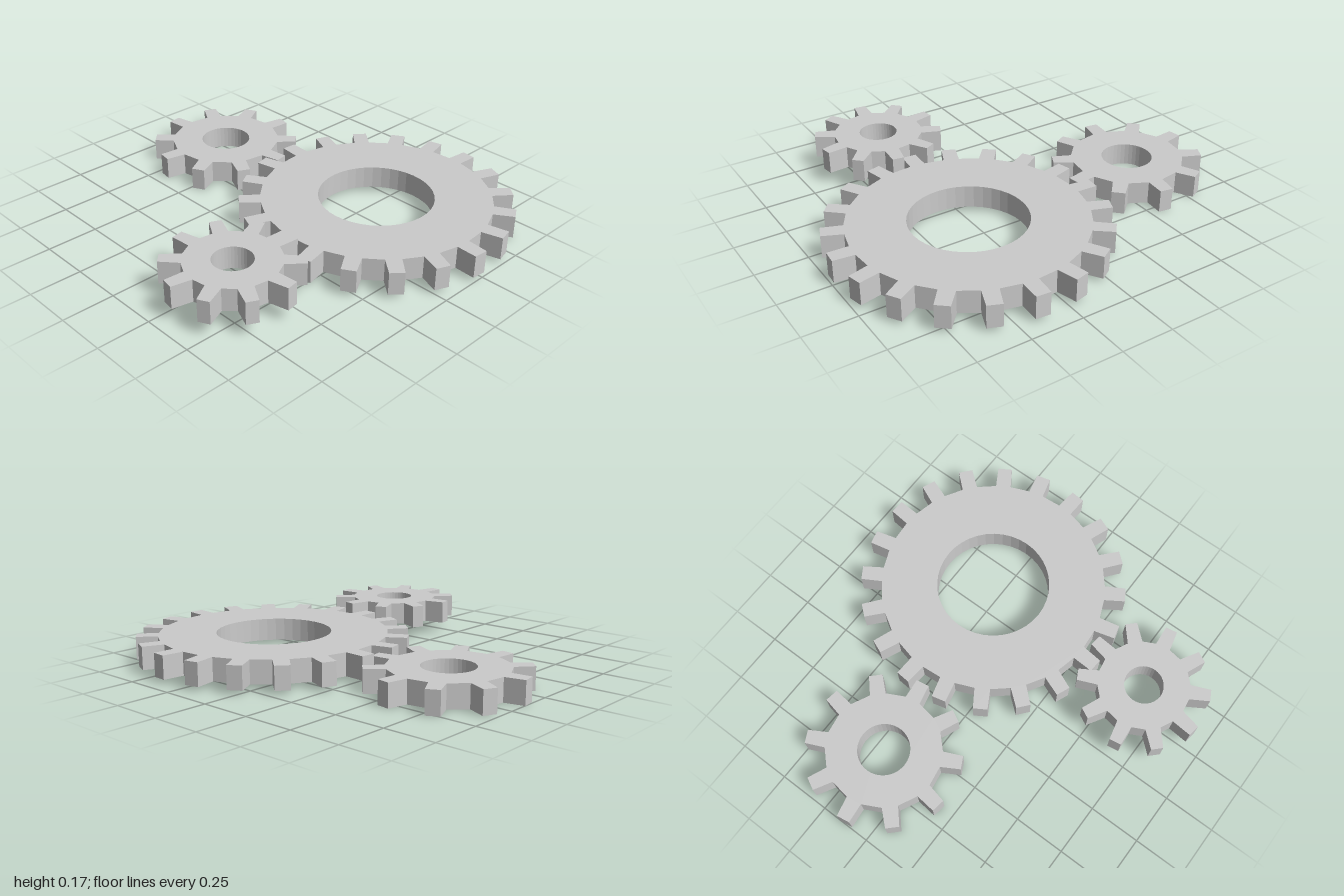
import * as THREE from 'three';

const THICKNESS = 0.11;
const material = new THREE.MeshStandardMaterial({ color: 0xcccccc, flatShading: true });

// Flat spur gear with straight tapered teeth and a round bore; angles in degrees
function makeGear({ name, x, y, z, teeth, tipR, rootR, boreR, phase, tipHalf, rootHalf }) {
  const points = [];
  const add = (r, deg) => {
    const a = THREE.MathUtils.degToRad(deg);
    points.push(new THREE.Vector2(r * Math.cos(a), r * Math.sin(a)));
  };
  for (let i = 0; i < teeth; i++) {
    const mid = phase + (i * 360) / teeth;
    add(rootR, mid - rootHalf);
    add(tipR, mid - tipHalf);
    add(tipR, mid + tipHalf);
    add(rootR, mid + rootHalf);
  }
  const shape = new THREE.Shape(points);
  shape.holes.push(new THREE.Path().absarc(0, 0, boreR, 0, Math.PI * 2, true));

  // Lay the outline flat, with the extrusion running down from the top face
  const geometry = new THREE.ExtrudeGeometry(shape, { depth: THICKNESS, bevelEnabled: false, curveSegments: 20 });
  geometry.rotateX(Math.PI / 2).translate(0, THICKNESS, 0);

  const gear = new THREE.Mesh(geometry, material);
  gear.name = name;
  gear.position.set(x, y, z);
  return gear;
}

export function createModel() {
  const model = new THREE.Group();
  model.name = 'gearTrain';
  model.add(
    makeGear({
      name: 'largeGear', x: 0.279, y: 0.02, z: 0.346, teeth: 20,
      tipR: 0.652, rootR: 0.55, boreR: 0.276, phase: 4.4, tipHalf: 3.05, rootHalf: 3.9,
    }),
    makeGear({
      name: 'mediumGear', x: 0.181, y: 0, z: -0.631, teeth: 10,
      tipR: 0.372, rootR: 0.276, boreR: 0.124, phase: 8.9, tipHalf: 5, rootHalf: 7.8,
    }),
    makeGear({
      name: 'smallGear', x: -0.614, y: 0.065, z: 0.338, teeth: 10,
      tipR: 0.316, rootR: 0.219, boreR: 0.093, phase: 8.8, tipHalf: 5.2, rootHalf: 9.4,
    }),
  );
  return model;
}
